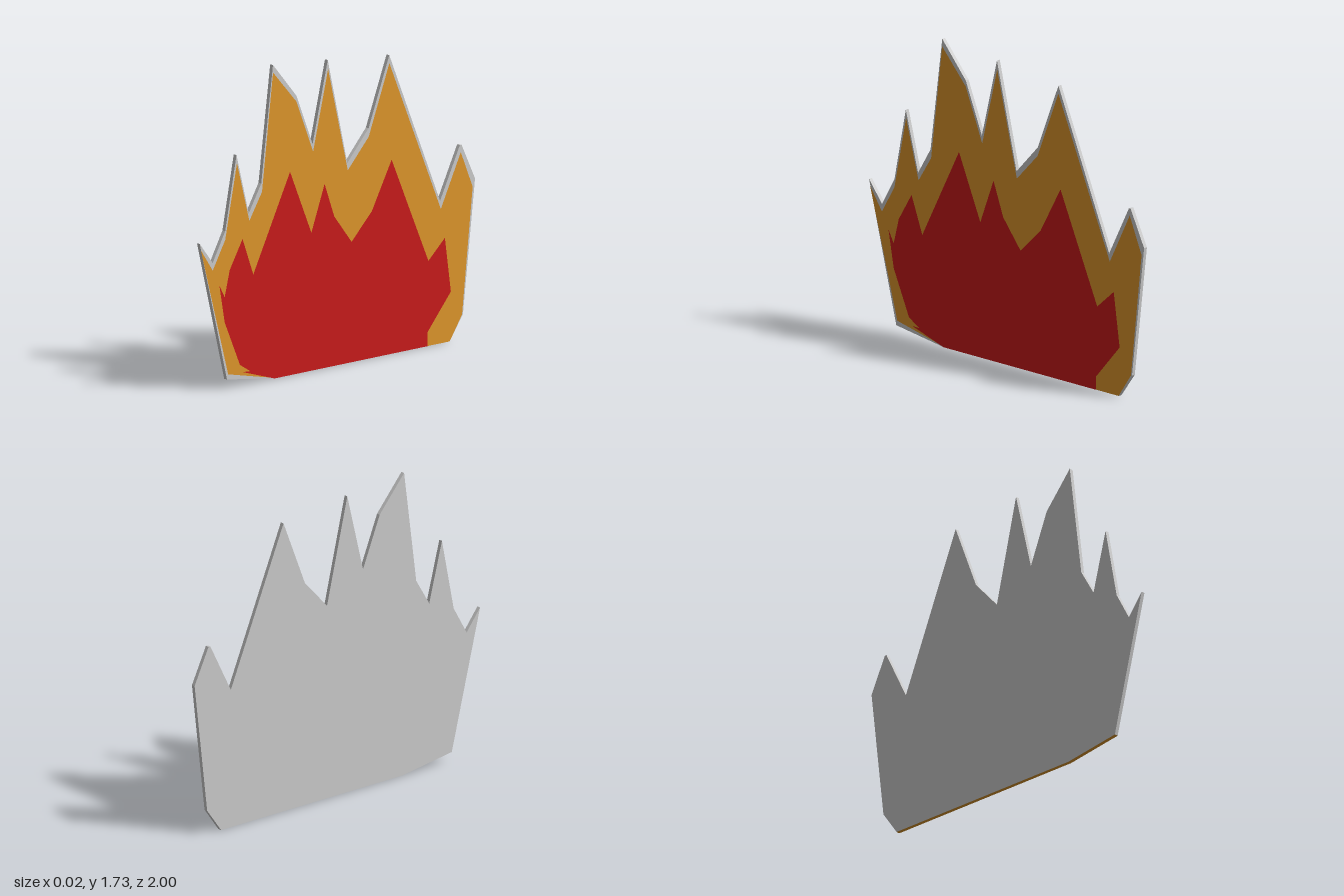
import * as THREE from 'three';

const HALF = 0.011; // half the board thickness
const LIFT = 0.0006; // tiny step between the colour layers

// Outlines as [z, y] corners
const boardOutline = [
  [1, 0.83], [0.906, 0.71], [0.815, 0.87], [0.733, 1.275], [0.644, 0.94], [0.553, 1.09],
  [0.468, 1.727], [0.297, 1.53], [0.18, 1.246], [0.07, 1.69], [-0.072, 1.1], [-0.227, 1.267],
  [-0.377, 1.644], [-0.746, 0.783], [-0.89, 1.067], [-0.902, 1.067], [-1, 0.866],
  [-0.912, 0.134], [-0.815, 0], [0.457, 0.003], [0.802, 0.053],
];
const outerOutline = [
  [0.992, 0.793], [0.906, 0.668], [0.815, 0.823], [0.73, 1.23], [0.64, 0.898], [0.548, 1.043],
  [0.468, 1.685], [0.297, 1.497], [0.177, 1.203], [0.068, 1.64], [-0.075, 1.06], [-0.227, 1.22],
  [-0.377, 1.6], [-0.751, 0.738], [-0.896, 1.027], [-0.982, 0.823],
  [-0.905, 0.134], [-0.815, 0], [0.457, 0.006], [0.794, 0.08],
];
const innerOutline = [
  [0.858, 0.578], [0.82, 0.508], [0.783, 0.652], [0.69, 0.807], [0.612, 0.599], [0.345, 1.12],
  [0.19, 0.76], [0.094, 1.013], [0.024, 0.823], [-0.102, 0.663], [-0.249, 0.807],
  [-0.393, 1.067], [-0.66, 0.468], [-0.78, 0.575], [-0.823, 0.273], [-0.652, 0.075],
  [-0.652, 0], [0.457, 0.003], [0.687, 0.075], [0.634, 0.072], [0.709, 0.118], [0.82, 0.37],
];

const toShape = (pts) => new THREE.Shape(pts.map(([z, y]) => new THREE.Vector2(-z, y)));

function addPart(group, name, geometry, color) {
  const material = new THREE.MeshStandardMaterial({ color });
  const mesh = new THREE.Mesh(geometry, material);
  mesh.name = name;
  group.add(mesh);
  return mesh;
}

export function createModel() {
  const group = new THREE.Group();
  group.name = 'flameCutout';
  const orange = 0xdd962a;

  // Thin grey board cut to the flame outline
  const board = new THREE.ExtrudeGeometry(toShape(boardOutline), { depth: 2 * HALF, bevelEnabled: false });
  board.translate(0, 0, -HALF).rotateY(Math.PI / 2);
  addPart(group, 'board', board, 0xcccccc);

  // Painted flames on the +x face
  const layers = [['outerFlame', outerOutline, orange], ['innerFlame', innerOutline, 0xc91a1a]];
  layers.forEach(([name, outline, color], i) => {
    const face = new THREE.ShapeGeometry(toShape(outline));
    face.rotateY(Math.PI / 2).translate(HALF + LIFT * (i + 1), 0, 0);
    addPart(group, name, face, color);
  });

  // Orange underside: a strip along the bottom edge, facing down
  const bottom = boardOutline.slice(-3);
  for (let i = 0; i < 2; i++) {
    const [[z0, y0], [z1, y1]] = [bottom[i], bottom[i + 1]];
    const strip = new THREE.PlaneGeometry(2 * HALF, Math.hypot(z1 - z0, y1 - y0));
    strip.rotateX(Math.PI / 2 - Math.atan2(y1 - y0, z1 - z0));
    strip.translate(0, (y0 + y1) / 2 - LIFT, (z0 + z1) / 2);
    addPart(group, 'underside', strip, orange);
  }
  return group;
}
